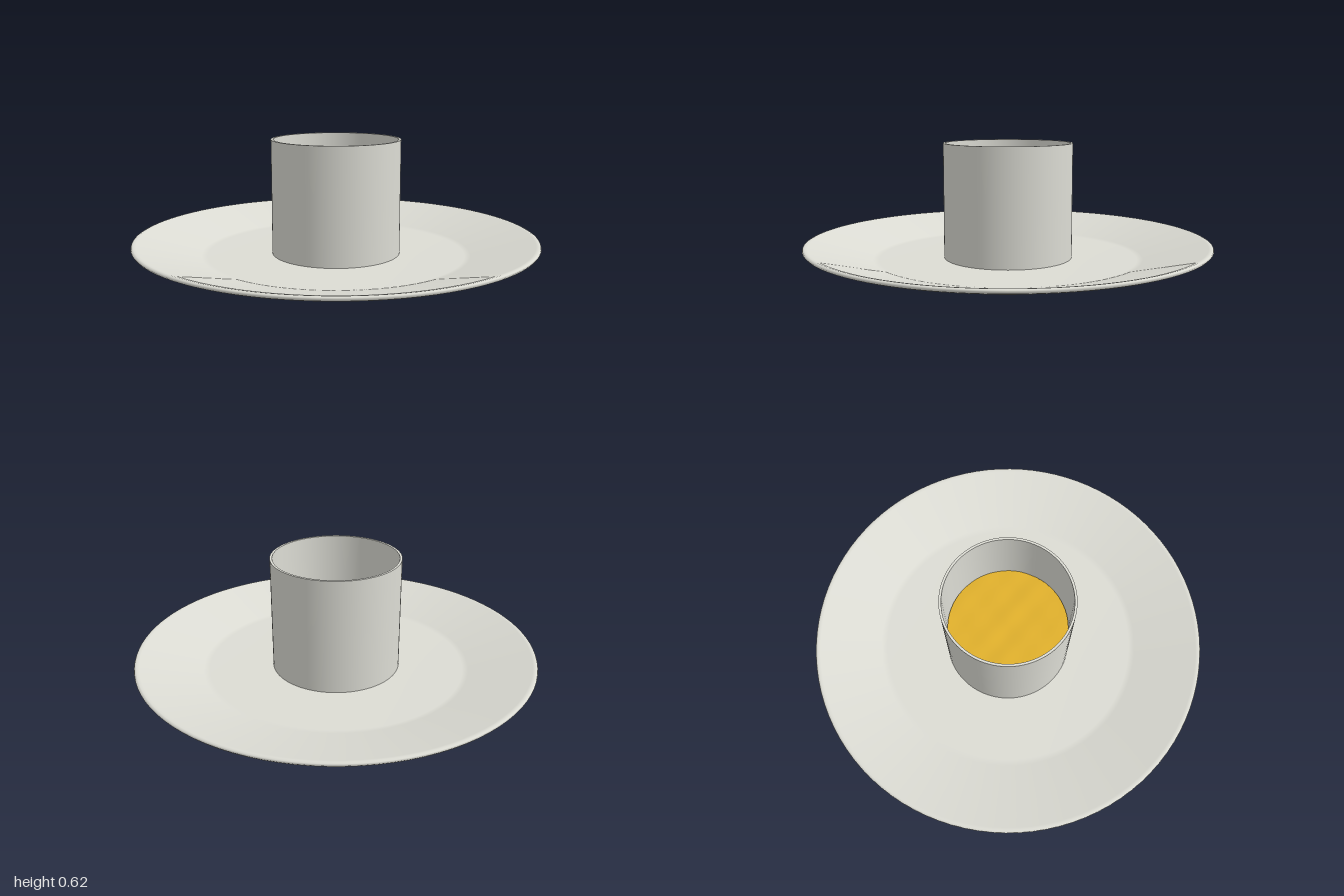
import * as THREE from 'three';

const ceramic = new THREE.MeshStandardMaterial({ color: 0xdcdcd4 });
ceramic.name = 'paleCeramic';
const amber = new THREE.MeshStandardMaterial({ color: 0xe0b02c });
amber.name = 'goldenFilling';

const SEGMENTS = 96;

// Turned part from [radius, height] pairs; a repeated point keeps an edge sharp
function turned(name, profile) {
  const points = profile.map(([r, y]) => new THREE.Vector2(r, y));
  const mesh = new THREE.Mesh(new THREE.LatheGeometry(points, SEGMENTS), ceramic);
  mesh.name = name;
  return mesh;
}

// Gently rippled disc built from concentric rings
function rippledDisc(radius, y) {
  const geometry = new THREE.RingGeometry(0, radius, 64, 16);
  geometry.rotateX(-Math.PI / 2);
  const p = geometry.attributes.position;
  for (let i = 0; i < p.count; i++) {
    const x = p.getX(i), z = p.getZ(i);
    const ripple = Math.sin(23 * x + 9 * z) * Math.cos(27 * z - 6 * x)
      + 0.5 * Math.sin(41 * x - 33 * z);
    p.setY(i, y + 0.002 * ripple);
  }
  geometry.computeVertexNormals();
  return geometry;
}

export function createModel() {
  const model = new THREE.Group();
  model.name = 'cupAndSaucer';

  // Saucer: flat foot, sloping flange and a softly rounded rim
  model.add(turned('saucer', [
    [0, 0], [0.54, 0], [0.56, 0.004], [0.98, 0.119], [0.994, 0.125],
    [1, 0.133], [0.997, 0.14], [0.988, 0.143], [0.975, 0.141],
    [0.67, 0.061], [0.64, 0.056], [0, 0.055],
  ]));

  // Cup: straight thin wall with a crisp lip and a closed floor
  model.add(turned('cup', [
    [0, 0.052], [0.32, 0.052], [0.32, 0.052],
    [0.32, 0.625], [0.32, 0.625],
    [0.308, 0.625], [0.308, 0.625],
    [0.308, 0.08], [0.308, 0.08], [0, 0.08],
  ]));

  // Filling inside the cup
  const filling = new THREE.Mesh(rippledDisc(0.305, 0.27), amber);
  filling.name = 'filling';
  model.add(filling);

  return model;
}
